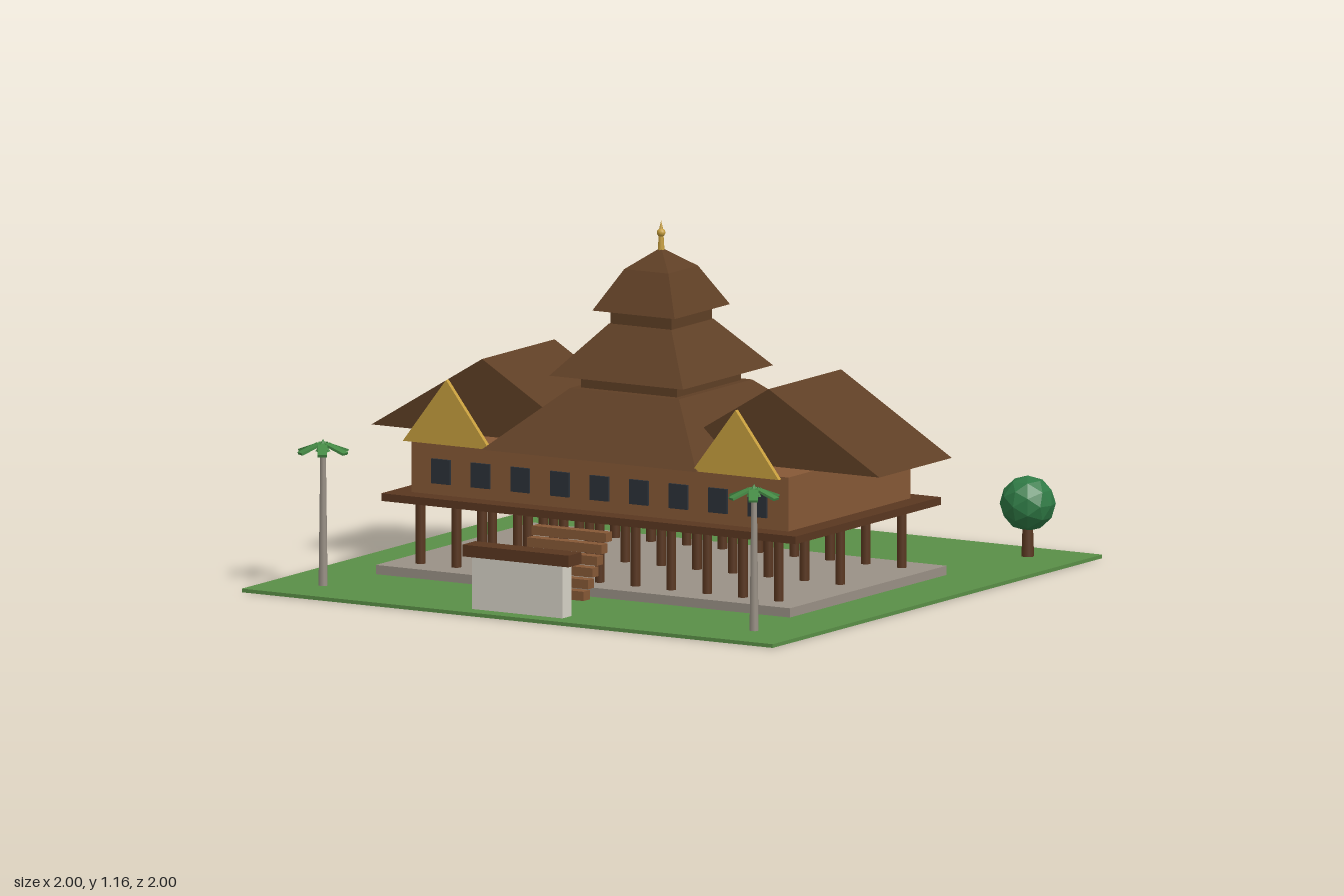
import * as THREE from 'three';

const CZ = 0.066; // centre of the house in z

export function createModel() {
  const model = new THREE.Group();
  model.name = 'stiltHouse';

  const mat = (name, color) => {
    const m = new THREE.MeshStandardMaterial({ color });
    m.name = name;
    return m;
  };
  const grass = mat('grass', 0x5a8f47);
  const stone = mat('stone', 0x9a9186);
  const plaster = mat('plaster', 0xd6d2c6);
  const timber = mat('darkTimber', 0x5a3720);
  const wall = mat('wallWood', 0x865836);
  const roof = mat('roofShingle', 0x5f3f25);
  const gold = mat('gold', 0xc79f3e);
  const glass = mat('windowGlass', 0x2b3138);
  const leaf = mat('treeLeaf', 0x2f7a45);
  const palmLeaf = mat('palmLeaf', 0x458a45);

  const add = (name, geometry, material, x = 0, y = 0, z = 0, parent = model) => {
    const mesh = new THREE.Mesh(geometry, material);
    mesh.name = name;
    mesh.position.set(x, y, z);
    parent.add(mesh);
    return mesh;
  };
  // box given by its size, bottom height and centre
  const box = (name, material, w, h, d, x, y0, z) =>
    add(name, new THREE.BoxGeometry(w, h, d), material, x, y0 + h / 2, z);
  // faceted copy of a geometry
  const faceted = (g) => {
    const f = g.index ? g.toNonIndexed() : g;
    f.computeVertexNormals();
    return f;
  };
  // four-sided hip roof stage, slightly longer in z than in x
  const hip = (name, bottom, top, y0, y1) => {
    const g = new THREE.CylinderGeometry(top * Math.SQRT2, bottom * Math.SQRT2, y1 - y0, 4);
    g.rotateY(Math.PI / 4).scale(1, 1, 1.085);
    add(name, faceted(g), roof, 0, (y0 + y1) / 2, CZ);
  };
  // triangular prism along z
  const gable = (name, material, half, height, depth, x, y, z) => {
    const s = new THREE.Shape();
    s.moveTo(-half, 0).lineTo(half, 0).lineTo(0, height).closePath();
    const g = new THREE.ExtrudeGeometry(s, { depth, bevelEnabled: false });
    g.translate(0, 0, -depth / 2);
    add(name, g, material, x, y, z);
  };

  // ground and foundation
  box('lawn', grass, 2, 0.012, 2, 0, 0, 0);
  box('foundation', stone, 1.56, 0.03, 0.95, 0, 0.012, CZ);

  // stilts and deck
  for (let i = -5; i <= 5; i++) {
    for (let k = -1; k <= 1; k++) {
      add('stilt', new THREE.CylinderGeometry(0.016, 0.016, 0.21, 8), timber,
        i * 0.135, 0.145, CZ + k * 0.373);
    }
  }
  box('deck', timber, 1.56, 0.025, 0.883, 0, 0.245, CZ);

  // hall with its row of front windows
  box('hall', wall, 1.42, 0.175, 0.742, 0, 0.27, CZ);
  for (let i = -4; i <= 4; i++) {
    box('window', glass, 0.07, 0.08, 0.009, i * 0.149, 0.307, CZ + 0.375);
  }

  // stacked central roof
  hip('lowerRoof', 0.405, 0.205, 0.445, 0.632);
  box('lowerNeck', roof, 0.36, 0.06, 0.39, 0, 0.625, CZ);
  hip('middleRoof', 0.252, 0.118, 0.675, 0.835);
  box('upperNeck', roof, 0.23, 0.055, 0.245, 0, 0.83, CZ);
  hip('upperRoof', 0.155, 0.083, 0.88, 1.01);
  hip('roofCap', 0.083, 0, 1.01, 1.075);

  // finial
  add('finialStem', new THREE.CylinderGeometry(0.008, 0.012, 0.06, 8), gold, 0, 1.085, CZ);
  add('finialBall', new THREE.SphereGeometry(0.014, 10, 8), gold, 0, 1.123, CZ);
  add('finialTip', new THREE.ConeGeometry(0.008, 0.035, 8), gold, 0, 1.146, CZ);

  // side wing roofs and golden gables
  for (const s of [-1, 1]) {
    gable('wingRoof', roof, 0.417, 0.25, 0.44, s * 0.54, 0.445, 0.063);
    gable('goldenGable', gold, 0.163, 0.212, 0.016, s * 0.545, 0.445, 0.486);
  }

  // entrance stairs
  for (let i = 0; i < 6; i++) {
    box('stairTread', wall, 0.28, 0.03, 0.038, 0, 0.04 + i * 0.034, 0.744 - i * 0.0272);
  }

  // gate wall
  box('gateWall', plaster, 0.34, 0.17, 0.055, 0, 0.012, 0.912);
  box('gateCap', timber, 0.4, 0.038, 0.078, 0, 0.182, 0.912);

  // palms with six drooping fronds
  for (const s of [-1, 1]) {
    const palm = new THREE.Group();
    palm.name = 'palm';
    palm.position.set(s * 0.812, 0, 0.81);
    model.add(palm);
    add('palmTrunk', new THREE.CylinderGeometry(0.009, 0.015, 0.45, 8), stone, 0, 0.237, 0, palm);
    add('palmCrown', faceted(new THREE.ConeGeometry(0.025, 0.04, 7)), palmLeaf, 0, 0.468, 0, palm);
    for (let i = 0; i < 6; i++) {
      const g = new THREE.BoxGeometry(0.075, 0.008, 0.03);
      g.rotateZ(-0.36).translate(0.049, 0.459, 0).rotateY((i * Math.PI) / 3);
      add('palmFrond', g, palmLeaf, 0, 0, 0, palm);
    }
  }

  // round trees at the back
  for (const [x, y, z, r] of [[-0.84, 0.197, -0.815, 0.096], [0.813, 0.184, -0.85, 0.09]]) {
    add('treeTrunk', new THREE.CylinderGeometry(0.016, 0.021, 0.13, 8), timber, x, 0.075, z);
    add('treeCrown', faceted(new THREE.IcosahedronGeometry(r, 1)), leaf, x, y, z);
  }

  return model;
}
